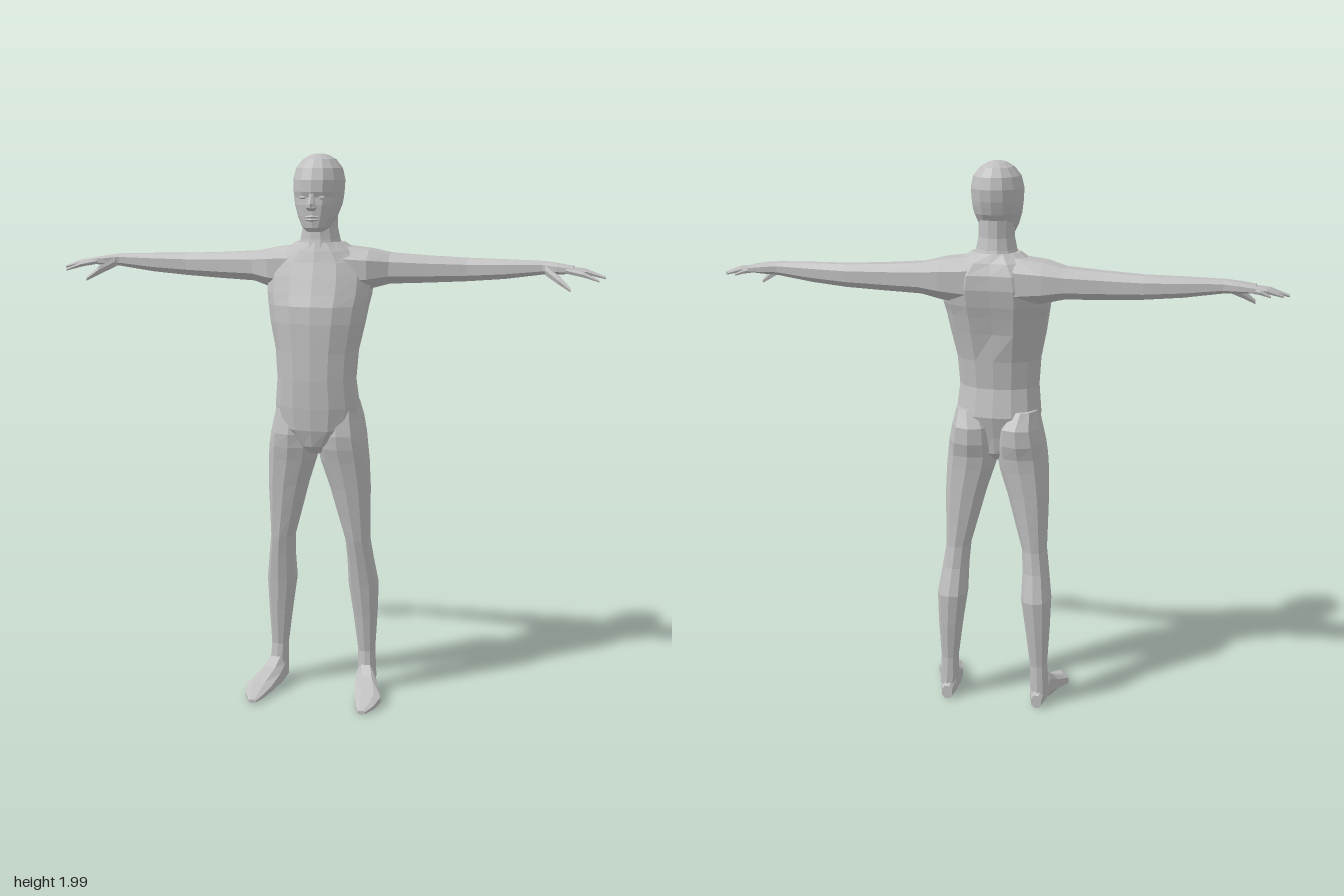
import * as THREE from 'three';

const skin = new THREE.MeshStandardMaterial({ color: 0xc0c0c0, flatShading: true });
skin.name = 'plain grey';

// Closed ring across an axis: spans a0..a1 and b0..b1, p < 1 makes it squarer
function ring(axis, t, a0, a1, b0, b1, n = 8, p = 0.85) {
  const pts = [];
  for (let i = 0; i < n; i++) {
    const th = ((i + 0.5) / n) * Math.PI * 2;
    const c = Math.cos(th), s = Math.sin(th);
    const k = 1 / Math.cos(Math.PI / n); // flats reach the full span
    const f = (v) => Math.max(-1, Math.min(1, Math.sign(v) * Math.abs(v) ** p * k));
    const a = (a0 + a1) / 2 + ((a1 - a0) / 2) * f(c);
    const b = (b0 + b1) / 2 + ((b1 - b0) / 2) * f(s);
    pts.push(axis === 'x' ? [t, a, b] : axis === 'y' ? [a, t, b] : [a, b, t]);
  }
  return pts;
}

// Skin over successive rings with closed ends, always facing outwards
function loft(name, rings, mirror = 1) {
  const n = rings[0].length, pos = [], idx = [];
  const mid = (r) => [0, 1, 2].map((k) => r.reduce((s, q) => s + q[k], 0) / n);
  [...rings.flat(), mid(rings[0]), mid(rings.at(-1))].forEach(([x, y, z]) => pos.push(x * mirror, y, z));
  const last = (rings.length - 1) * n, c0 = rings.length * n;
  for (let j = 0; j < n; j++) {
    const k = (j + 1) % n;
    for (let i = 0; i < last; i += n) idx.push(i + j, i + k, i + n + j, i + k, i + n + k, i + n + j);
    idx.push(c0, k, j, c0 + 1, last + j, last + k);
  }
  const v = (i) => new THREE.Vector3().fromArray(pos, i * 3);
  let volume = 0;
  for (let i = 0; i < idx.length; i += 3) volume += v(idx[i]).dot(v(idx[i + 1]).cross(v(idx[i + 2])));
  if (volume < 0) idx.reverse();
  const g = new THREE.BufferGeometry();
  g.setAttribute('position', new THREE.Float32BufferAttribute(pos, 3));
  g.setIndex(idx);
  const flat = g.toNonIndexed();
  flat.computeVertexNormals();
  const mesh = new THREE.Mesh(flat, skin);
  mesh.name = name;
  return mesh;
}

export function createModel() {
  const body = new THREE.Group();
  body.name = 'body';

  // Torso: height, half width, back z, front z
  const torso = [
    [0.93, 0.025, -0.05, 0.06], [0.96, 0.07, -0.08, 0.085], [1.02, 0.135, -0.09, 0.103],
    [1.1, 0.15, -0.11, 0.11], [1.2, 0.14, -0.09, 0.115], [1.3, 0.147, -0.1, 0.115],
    [1.4, 0.168, -0.122, 0.115], [1.46, 0.178, -0.138, 0.11], [1.5, 0.186, -0.15, 0.095],
    [1.56, 0.188, -0.163, 0.075], [1.61, 0.175, -0.162, 0.058], [1.65, 0.13, -0.145, 0.047],
    [1.68, 0.085, -0.115, 0.037],
  ].map(([y, w, b, f]) => ring('y', y, -w, w, b, f, 14, 1));
  // Spine groove along the upper back
  torso.forEach((r) => r.forEach((q) => {
    if (q[1] > 1.35 && q[1] < 1.66 && q[2] < -0.08 && Math.abs(q[0]) < 0.05) q[2] += 0.012;
  }));
  body.add(loft('torso', torso));

  body.add(loft('neck', [
    [1.64, 0.085, -0.125, 0.045], [1.69, 0.068, -0.108, 0.034],
    [1.73, 0.06, -0.1, 0.03], [1.79, 0.06, -0.1, 0.03],
  ].map(([y, w, b, f]) => ring('y', y, -w, w, b, f, 12, 1))));

  // Head: height, half width, back z, front z
  body.add(loft('head', [
    [1.718, 0.028, 0.01, 0.07], [1.732, 0.046, -0.03, 0.08], [1.77, 0.067, -0.085, 0.084],
    [1.81, 0.08, -0.112, 0.086], [1.835, 0.084, -0.12, 0.083], [1.855, 0.086, -0.126, 0.09],
    [1.895, 0.088, -0.131, 0.088], [1.935, 0.079, -0.122, 0.074], [1.965, 0.056, -0.098, 0.048],
    [1.98, 0.03, -0.068, 0.018], [1.985, 0.01, -0.04, -0.012],
  ].map(([y, w, b, f]) => ring('y', y, -w, w, b, f, 14, 1))));

  // Face
  body.add(loft('nose', [
    [1.79, 0.012, 0.07, 0.09], [1.8, 0.017, 0.07, 0.104], [1.814, 0.012, 0.07, 0.106], [1.85, 0.007, 0.07, 0.09],
  ].map(([y, w, b, f]) => ring('y', y, -w, w, b, f, 6, 1))));
  for (const [name, y] of [['upperLip', 1.77], ['lowerLip', 1.759]]) {
    body.add(loft(name, [-0.024, 0, 0.024].map((x) => {
      const h = x ? 0.001 : 0.006;
      return ring('x', x, y - h, y + h, 0.07, x ? 0.083 : 0.092, 6, 1);
    })));
  }

  for (const s of [1, -1]) {
    const side = new THREE.Group();
    side.name = s > 0 ? 'leftLimbs' : 'rightLimbs';
    body.add(side);

    const eye = new THREE.Mesh(new THREE.SphereGeometry(0.012, 8, 5), skin);
    eye.name = 'eyelid';
    eye.scale.set(1.2, 0.5, 0.6);
    eye.position.set(s * 0.033, 1.835, 0.075);
    side.add(eye);

    // Arm and palm: x, y range, z range
    side.add(loft('arm', [
      [0.08, 1.5, 1.667, -0.15, 0.035], [0.18, 1.517, 1.655, -0.153, 0.025], [0.25, 1.535, 1.64, -0.146, -0.018],
      [0.38, 1.54, 1.632, -0.138, -0.04], [0.52, 1.547, 1.626, -0.136, -0.058], [0.65, 1.558, 1.624, -0.125, -0.057],
      [0.78, 1.576, 1.621, -0.113, -0.06], [0.83, 1.578, 1.615, -0.12, -0.042], [0.885, 1.582, 1.606, -0.122, -0.036],
    ].map((r) => ring('x', ...r), 8), s));

    // Fingers and thumb: start, knuckle and tip centres, radius
    const digits = [
      ['littleFinger', [0.86, 1.594, -0.11], [0.9, 1.588, -0.117], [0.935, 1.574, -0.117], 0.008],
      ['ringFinger', [0.86, 1.594, -0.09], [0.92, 1.59, -0.096], [0.975, 1.573, -0.094], 0.009],
      ['middleFinger', [0.86, 1.594, -0.067], [0.93, 1.589, -0.066], [0.995, 1.57, -0.06], 0.0095],
      ['indexFinger', [0.86, 1.594, -0.047], [0.92, 1.582, -0.034], [0.975, 1.562, -0.022], 0.009],
      ['thumb', [0.79, 1.593, -0.06], [0.84, 1.563, -0.015], [0.882, 1.532, 0.006], 0.014],
    ];
    for (const [name, a, b, c, r] of digits) {
      side.add(loft(name, [[a, 1.15], [b, 1], [c, 0.45]].map(([q, k]) =>
        ring('x', q[0], q[1] - r * k, q[1] + r * k, q[2] - r * k, q[2] + r * k, 6, 1)), s));
    }

    // Leg with hip and buttock: y, x range, z range
    side.add(loft('leg', [
      [1.12, 0.05, 0.145, -0.095, 0.06], [1.06, 0.012, 0.158, -0.128, 0.078], [1.0, 0.006, 0.17, -0.127, 0.088],
      [0.95, 0.005, 0.177, -0.112, 0.082], [0.9, 0.014, 0.182, -0.108, 0.07], [0.8, 0.046, 0.186, -0.105, 0.052],
      [0.68, 0.078, 0.185, -0.104, 0.034], [0.6, 0.1, 0.184, -0.105, 0.024], [0.52, 0.105, 0.195, -0.116, 0.008],
      [0.42, 0.105, 0.209, -0.144, -0.01], [0.3, 0.122, 0.206, -0.135, -0.028], [0.16, 0.139, 0.199, -0.12, -0.045],
      [0.05, 0.14, 0.205, -0.125, -0.03],
    ].map((r) => ring('y', r[0], r[1], r[2], r[3], r[4], 10, 0.95)), s));

    // Foot: z, x range, y range
    side.add(loft('foot', [
      [-0.13, 0.152, 0.19, 0, 0.05], [-0.1, 0.142, 0.2, 0, 0.09], [-0.04, 0.14, 0.21, 0, 0.11],
      [0, 0.145, 0.228, 0, 0.08], [0.07, 0.16, 0.256, 0, 0.046], [0.125, 0.175, 0.243, 0, 0.028],
      [0.165, 0.192, 0.22, 0, 0.014],
    ].map((r) => ring('z', ...r)), s));
  }
  return body;
}
